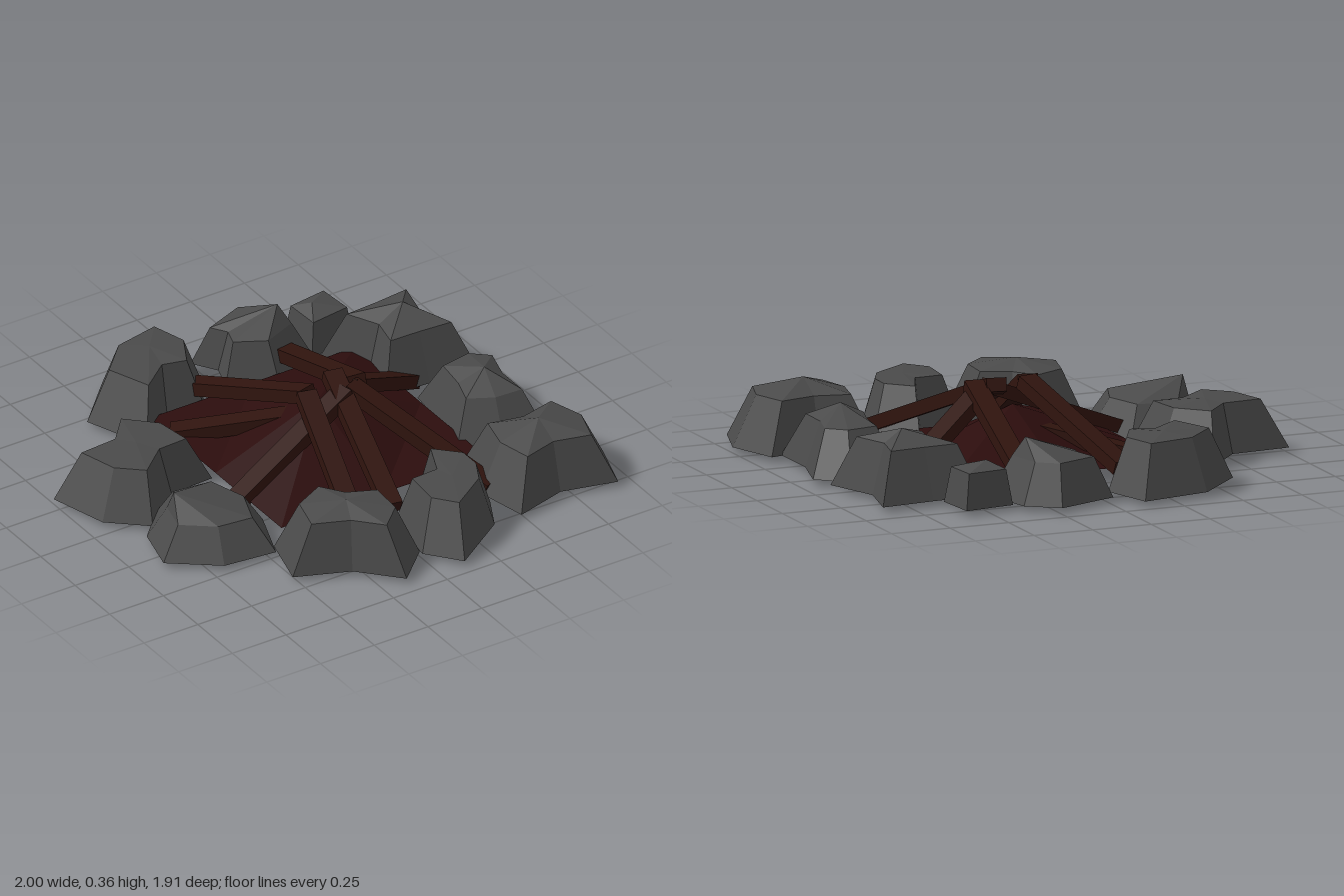
import * as THREE from 'three';

const stoneMat = new THREE.MeshStandardMaterial({ color: 0x4a4a4a, flatShading: true, side: THREE.DoubleSide });
const logMat = new THREE.MeshStandardMaterial({ color: 0x30140e, flatShading: true });
const emberMat = new THREE.MeshStandardMaterial({ color: 0x2c0d0d, flatShading: true, side: THREE.DoubleSide });

const BASE = 0.027;

// Faceted hollow stone: ground outline (x, z pairs), an inset shoulder loop and a peak
function stone(outline, shoulder, peak, [px, pz], inset = 0.66) {
  const n = outline.length / 2;
  let cx = 0, cz = 0;
  for (let i = 0; i < n; i++) {
    cx += outline[2 * i] / n;
    cz += outline[2 * i + 1] / n;
  }
  const pos = [];
  for (const [y, s] of [[BASE, 1], [shoulder, inset]]) {
    for (let i = 0; i < n; i++) {
      pos.push(cx + (outline[2 * i] - cx) * s, y, cz + (outline[2 * i + 1] - cz) * s);
    }
  }
  pos.push(px, peak, pz);
  const index = [];
  for (let i = 0; i < n; i++) {
    const j = (i + 1) % n;
    index.push(j, i, n + i, j, n + i, n + j); // side
    index.push(2 * n, n + j, n + i); // crown
  }
  const geo = new THREE.BufferGeometry();
  geo.setAttribute('position', new THREE.Float32BufferAttribute(pos, 3));
  geo.setIndex(index);
  const flat = geo.toNonIndexed();
  flat.computeVertexNormals();
  const mesh = new THREE.Mesh(flat, stoneMat);
  mesh.name = 'stone';
  return mesh;
}

// Squared log leaning from its foot to its tip
function log(foot, tip) {
  const a = new THREE.Vector3(...foot), b = new THREE.Vector3(...tip);
  const mesh = new THREE.Mesh(new THREE.BoxGeometry(0.08, 0.055, a.distanceTo(b)), logMat);
  mesh.position.copy(a).add(b).multiplyScalar(0.5);
  mesh.lookAt(b);
  mesh.name = 'log';
  return mesh;
}

export function createModel() {
  const model = new THREE.Group();
  model.name = 'campfire';

  // Ring of stones
  const ring = new THREE.Group();
  ring.name = 'stoneRing';
  ring.add(
    stone([-.39, -.90, -.10, -.96, -.035, -.74, -.14, -.54, -.29, -.58, -.48, -.43, -.585, -.70], .235, .25, [-.27, -.74]),
    stone([-.015, -.84, .245, -.94, .37, -.85, .42, -.62, .20, -.53, .015, -.63, .05, -.74], .19, .27, [.3, -.70]),
    stone([.40, -.81, .61, -.84, .625, -.65, .41, -.62], .17, .2, [.48, -.73], .8),
    stone([.44, -.61, .66, -.625, .885, -.65, .835, -.43, .915, -.20, .70, -.215, .50, -.22, .54, -.41], .23, .285, [.71, -.43]),
    stone([.60, -.15, .82, -.19, .94, -.085, .88, .13, .88, .37, .68, .36, .51, .27, .57, .08], .21, .275, [.73, .13], .6),
    stone([.48, .35, .70, .40, .93, .345, 1, .57, .93, .79, .70, .73, .48, .79, .43, .57], .23, .285, [.70, .57]),
    stone([.29, .36, .43, .50, .43, .64, .355, .79, .11, .955, 0, .82, .02, .58, .20, .57], .23, .235, [.23, .68]),
    stone([-.26, .36, -.16, .50, .015, .58, 0, .80, -.15, .94, -.30, .78, -.52, .69, -.46, .46], .23, .265, [-.24, .64]),
    stone([-.715, 0, -.465, .03, -.39, .27, -.475, .50, -.70, .475, -.89, .33, -.84, .13], .16, .24, [-.76, .2]),
    stone([-.60, -.485, -.43, -.32, -.395, -.09, -.59, -.08, -.78, .08, -.93, -.05, -1, -.295, -.75, -.315], .225, .235, [-.68, -.2]),
  );
  model.add(ring);

  // Ember mound: a square sheet raised in the middle
  const mound = new THREE.PlaneGeometry(0.955, 0.955, 2, 2).rotateX(-Math.PI / 2);
  mound.attributes.position.setY(4, 0.18);
  mound.computeVertexNormals();
  const embers = new THREE.Mesh(mound, emberMat);
  embers.position.set(0.078, 0.07, -0.058);
  embers.name = 'embers';
  model.add(embers);

  // Leaning logs meeting above the embers
  const logs = new THREE.Group();
  logs.name = 'logs';
  const leaning = [
    [[-.15, .09, -.62], [0, .325, -.01]],
    [[-.56, .03, .19], [.15, .31, .03]],
    [[-.15, .09, .56], [-.01, .325, -.01]],
    [[.02, .1, .57], [.15, .335, -.07]],
    [[.28, .08, -.68], [.215, .32, .01]],
    [[.47, .05, .58], [.18, .31, .01]],
    [[.65, .03, -.27], [.18, .31, -.01]],
    [[-.38, .06, -.41], [.1, .18, -.06]],
  ];
  for (const [foot, tip] of leaning) logs.add(log(foot, tip));
  model.add(logs);

  return model;
}
